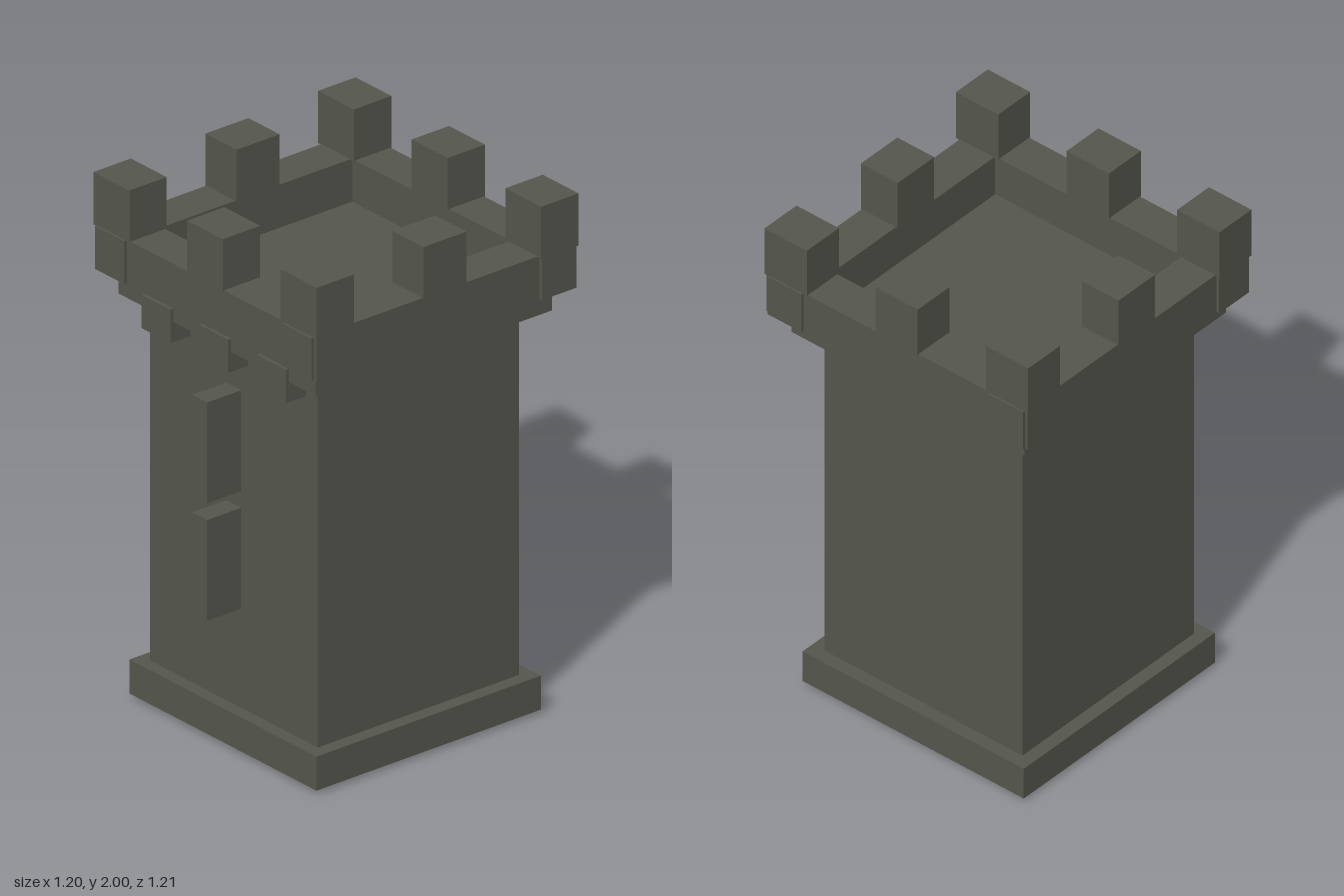
import * as THREE from 'three';

export function createModel() {
  const tower = new THREE.Group();
  tower.name = 'tower';
  const stone = new THREE.MeshStandardMaterial({ color: 0x55574e });
  stone.name = 'dark stone';

  // Box given by its extents along each axis
  function block(name, [x0, x1], [y0, y1], [z0, z1]) {
    const mesh = new THREE.Mesh(new THREE.BoxGeometry(x1 - x0, y1 - y0, z1 - z0), stone);
    mesh.name = name;
    mesh.position.set((x0 + x1) / 2, (y0 + y1) / 2, (z0 + z1) / 2);
    tower.add(mesh);
  }
  const span = (centre, size) => [centre - size / 2, centre + size / 2];

  // Body, plinth and the ledge that forms the roof floor
  block('shaft', [-0.453, 0.45], [0, 1.58], [-0.455, 0.45]);
  block('plinth', [-0.505, 0.503], [0.015, 0.145], [-0.508, 0.5]);
  block('ledge', [-0.532, 0.53], [1.545, 1.62], [-0.535, 0.527]);

  // Corbels under the ledge, on the front only
  for (const x of [-0.313, -0.002, 0.31]) {
    block('corbel', span(x, 0.155), [1.468, 1.596], [0.4, 0.54]);
  }

  // Arrow slit blocks
  for (const y of [0.718, 1.168]) {
    block('arrowSlit', [-0.042, 0.038], span(y, 0.386), [0.4, 0.603]);
  }

  // Parapet walls, with their ends overlapping slightly at the corners
  const wallY = [1.638, 1.803];
  block('frontParapet', [-0.596, 0.594], wallY, [0.418, 0.575]);
  block('backParapet', [-0.596, 0.594], wallY, [-0.593, -0.437]);
  block('leftParapet', [0.426, 0.581], wallY, [-0.604, 0.588]);
  block('rightParapet', [-0.584, -0.428], wallY, [-0.604, 0.588]);

  // Merlons: three along front and back, one in the middle of each side
  const merlonY = [1.8, 2];
  for (const z of [-0.513, 0.496]) {
    for (const x of [-0.506, -0.002, 0.503]) {
      block('merlon', span(x, 0.193), merlonY, span(z, 0.168));
    }
  }
  for (const x of [-0.506, 0.502]) {
    block('sideMerlon', span(x, 0.168), merlonY, span(-0.009, 0.193));
  }
  return tower;
}
